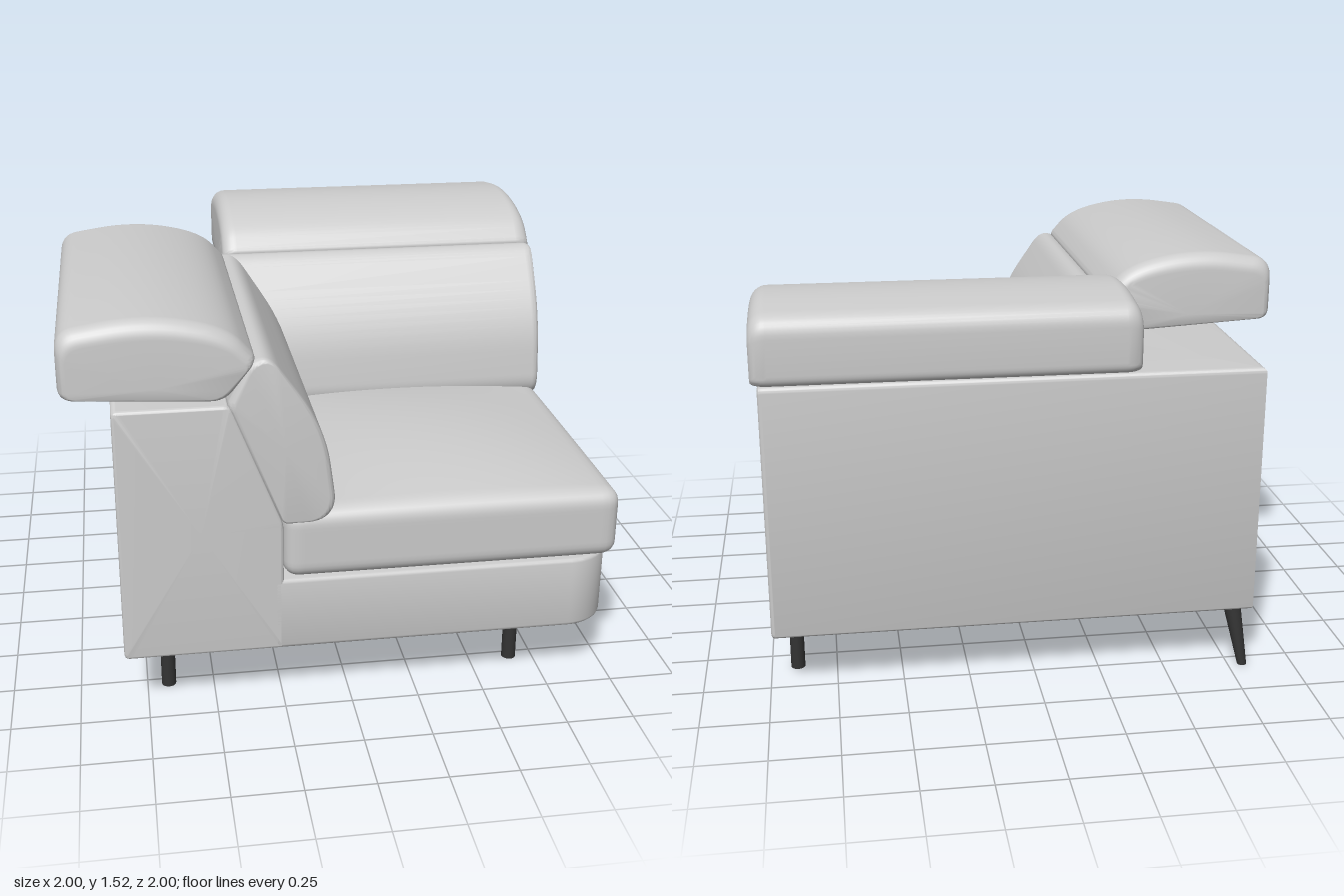
import * as THREE from 'three';
import { mergeVertices, toCreasedNormals } from 'three/addons/utils/BufferGeometryUtils.js';

const fabric = new THREE.MeshStandardMaterial({ color: 0xcccccc });
const legDark = new THREE.MeshStandardMaterial({ color: 0x333333 });

// Closed outline through corners [d, y, radius], anticlockwise, each corner rounded.
function roundedOutline(corners) {
  const shape = new THREE.Shape();
  const pts = corners.map(([x, y]) => new THREE.Vector2(x, y));
  const toward = (a, b, r) => a.clone().add(b.clone().sub(a).setLength(Math.min(r, a.distanceTo(b) * 0.49)));
  pts.forEach((p, i) => {
    const before = toward(p, pts.at(i - 1), corners[i][2]);
    const after = toward(p, pts[(i + 1) % pts.length], corners[i][2]);
    if (i === 0) shape.moveTo(before.x, before.y);
    else shape.lineTo(before.x, before.y);
    shape.quadraticCurveTo(p.x, p.y, after.x, after.y);
  });
  const out = shape.getPoints(8);
  if (out[0].distanceTo(out.at(-1)) < 1e-6) out.pop();
  return out;
}

// Sweeps an outline (d = distance across, y = height) lengthwise with soft ends.
// start === null mitres the first end on the diagonal; swap runs it along x, not z.
function sweep({ corners, start, end, round, centre, shrink }, swap) {
  const outline = roundedOutline(corners);
  const n = outline.length, steps = 8;
  const stations = [];
  const arc = i => (i / steps) * Math.PI / 2;
  if (start === null) stations.push({ mitre: true, s: 0 });
  else for (let i = 0; i <= steps; i++) {
    stations.push({ t: start + round * (1 - Math.sin(arc(i))), s: 1 - Math.cos(arc(steps - i)) });
  }
  if (start !== null) stations.forEach((st, i) => {
    st.t = start + round * (1 - Math.cos(arc(i)));
    st.s = 1 - Math.sin(arc(i));
  });
  for (let i = 0; i <= steps; i++) {
    stations.push({ t: end - round * (1 - Math.sin(arc(i))), s: 1 - Math.cos(arc(i)) });
  }

  const pos = [], index = [];
  const put = (d, y, t) => (swap ? pos.push(t, y, d) : pos.push(d, y, t));
  const tri = (a, b, c) => (swap ? index.push(a, c, b) : index.push(a, b, c));
  for (const { t, s, mitre } of stations) {
    for (const p of outline) {
      const d = centre[0] + (p.x - centre[0]) * (1 - s * shrink[0]);
      const y = centre[1] + (p.y - centre[1]) * (1 - s * shrink[1]);
      put(d, y, mitre ? d : t);
    }
  }
  const last = (stations.length - 1) * n;
  put(centre[0], centre[1], start === null ? centre[0] : start);
  put(centre[0], centre[1], end);
  const capA = last + n, capB = capA + 1;
  for (let i = 0; i < n; i++) {
    const j = (i + 1) % n;
    for (let k = 0; k < last; k += n) {
      tri(k + i, k + j, k + n + j);
      tri(k + i, k + n + j, k + n + i);
    }
    tri(capA, j, i);
    tri(capB, last + i, last + j);
  }
  const g = new THREE.BufferGeometry();
  g.setAttribute('position', new THREE.Float32BufferAttribute(pos, 3));
  g.setIndex(index);
  return toCreasedNormals(g, 0.6);
}

// Box with rounded edges and a domed top.
function paddedBox(w, h, d, r, dome) {
  let g = new THREE.BoxGeometry(w, h, d, 50, 16, 50);
  g.deleteAttribute('normal');
  g.deleteAttribute('uv');
  g = mergeVertices(g);
  const p = g.attributes.position, v = new THREE.Vector3();
  const half = new THREE.Vector3(w / 2 - r, h / 2 - r, d / 2 - r);
  for (let i = 0; i < p.count; i++) {
    v.fromBufferAttribute(p, i);
    const core = v.clone().clamp(half.clone().negate(), half);
    v.sub(core);
    if (v.lengthSq() > 0) v.setLength(r);
    v.add(core);
    const u = 2 * v.x / w, q = 2 * v.z / d;
    v.y += dome * (1 - u * u) * (1 - q * q) * Math.max(0, v.y / (h / 2));
    p.setXYZ(i, v.x, v.y, v.z);
  }
  g.computeVertexNormals();
  return g;
}

export function createModel() {
  const model = new THREE.Group();
  const add = (name, geometry, material = fabric) => {
    const mesh = new THREE.Mesh(geometry, material);
    mesh.name = name;
    model.add(mesh);
    return mesh;
  };

  const frame = {
    corners: [[-0.83, 0.24, 0.02], [-0.25, 0.24, 0.01], [-0.25, 0.74, 0.02], [-0.43, 1.2, 0.02], [-0.83, 1.2, 0.02]],
    start: null, end: 0.985, round: 0.015, centre: [-0.54, 0.72], shrink: [0.04, 0.025],
  };
  const backCushion = {
    corners: [[-0.25, 0.74, 0.02], [-0.11, 0.74, 0.05], [-0.06, 0.8, 0.05], [-0.1, 1.1, 0.24],
      [-0.29, 1.37, 0.06], [-0.36, 1.355, 0.04], [-0.44, 1.2, 0.02]],
    start: null, end: 0.99, round: 0.03, centre: [-0.24, 1.03], shrink: [0.14, 0.05],
  };
  const headrest = {
    corners: [[-1, 1.25, 0.04], [-0.44, 1.215, 0.05], [-0.33, 1.36, 0.03], [-0.43, 1.475, 0.13],
      [-0.7, 1.53, 0.2], [-1, 1.485, 0.07]],
    start: -0.335, end: 1, round: 0.06, centre: [-0.67, 1.28], shrink: [0.1, 0.27],
  };

  // The two wings mirror each other across the diagonal
  for (const [side, swap] of [['right', false], ['rear', true]]) {
    add(side + 'Frame', sweep(frame, swap));
    add(side + 'BackCushion', sweep(backCushion, swap));
    add(side + 'Headrest', sweep(headrest, swap));
  }

  // Seat cushion, domed in the middle
  add('seatCushion', paddedBox(1.24, 0.265, 1.24, 0.055, 0.07)).position.set(0.37, 0.6525, 0.37);

  // Seat base with a rounded outer corner
  const b = 0.015, lo = -0.26, hi = 0.985 - b, r = 0.15;
  const plan = new THREE.Shape();
  plan.moveTo(lo, -lo);
  plan.lineTo(lo, -hi);
  plan.lineTo(hi - r, -hi);
  plan.absarc(hi - r, -hi + r, r, -Math.PI / 2, 0, false);
  plan.lineTo(hi, -lo);
  plan.closePath();
  const base = new THREE.ExtrudeGeometry(plan, {
    depth: 0.28 - 2 * b, bevelSize: b, bevelThickness: b, bevelSegments: 3, curveSegments: 12,
  });
  base.rotateX(-Math.PI / 2).translate(0, 0.24 + b, 0);
  add('seatBase', toCreasedNormals(base, 0.6));

  // Three straight legs
  for (const [x, z] of [[-0.67, 0.78], [0.66, 0.78], [0.9, -0.59]]) {
    add('leg', new THREE.CylinderGeometry(0.027, 0.027, 0.25, 20), legDark).position.set(x, 0.125, z);
  }
  // Splayed, tapered leg at the back corner
  const splay = new THREE.CylinderGeometry(0.035, 0.018, 0.25, 20);
  const p = splay.attributes.position;
  for (let i = 0; i < p.count; i++) {
    const lean = -0.785 + 0.17 * p.getY(i);
    p.setXYZ(i, p.getX(i) + lean, p.getY(i) + 0.125, p.getZ(i) + lean);
  }
  splay.computeVertexNormals();
  add('cornerLeg', splay, legDark);

  return model;
}
